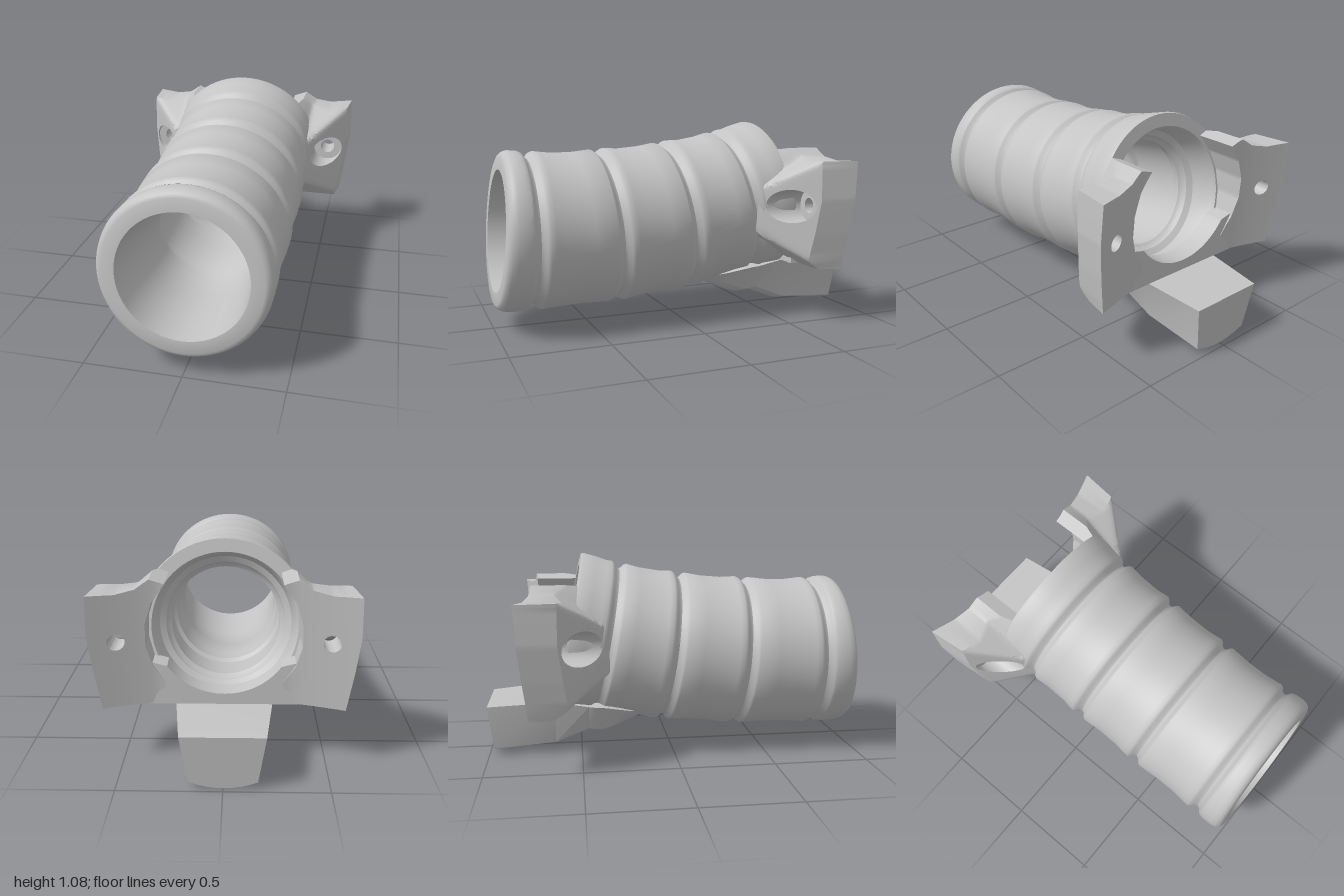
import * as THREE from 'three';
import { toCreasedNormals } from 'three/addons/utils/BufferGeometryUtils.js';

const grey = new THREE.MeshStandardMaterial({ color: 0xc4c4c4 });
grey.name = 'grey';
const rad = THREE.MathUtils.degToRad;

// Skin a list of closed loops; optionally join the last loop to the first.
function skin(rows, joinEnds, flip, crease) {
  const n = rows[0].length, m = rows.length, idx = [];
  const geo = new THREE.BufferGeometry();
  geo.setAttribute('position', new THREE.Float32BufferAttribute(rows.flat(2), 3));
  const tri = (a, b, c) => (flip ? idx.push(a, c, b) : idx.push(a, b, c));
  for (let i = 0; i < (joinEnds ? m : m - 1); i++) {
    for (let j = 0; j < n; j++) {
      const k = (i + 1) % m, l = (j + 1) % n;
      tri(i * n + j, k * n + j, k * n + l);
      tri(i * n + j, k * n + l, i * n + l);
    }
  }
  geo.setIndex(idx);
  return toCreasedNormals(geo, crease);
}

function part(geo, name) {
  const mesh = new THREE.Mesh(geo, grey);
  mesh.name = name;
  return mesh;
}

// Bent axis: [z, height, tilt in degrees], front to back
const axis = [
  [0.97, 0.52, -4], [0.82, 0.513, 0], [0.6, 0.512, 2.5], [0.39, 0.52, 5],
  [0.2, 0.535, 6.5], [0, 0.555, 8], [-0.2, 0.588, 9.7], [-0.35, 0.615, 11], [-0.565, 0.66, 11.5],
];
function axisAt(z) {
  let i = 0;
  while (i < axis.length - 2 && z < axis[i + 1][0]) i++;
  const a = axis[i], b = axis[i + 1], t = (z - a[0]) / (b[0] - a[0]);
  return { y: a[1] + (b[1] - a[1]) * t, tilt: rad(a[2] + (b[2] - a[2]) * t) };
}

// Ribbed tube: outer wall front to back, then bore back to front, as [z, radius, drop]
function tube() {
  const profile = [[0.97, 0.385], [0.962, 0.403], [0.945, 0.415], [0.92, 0.421], [0.87, 0.421], [0.845, 0.415]];
  const grooves = [0.81, 0.39, 0, -0.35];
  grooves.forEach((g, i) => {
    profile.push([g + 0.04, 0.417], [g + 0.028, 0.41], [g + 0.015, 0.392], [g, 0.386],
      [g - 0.015, 0.392], [g - 0.028, 0.411], [g - 0.045, 0.419], [g - 0.07, 0.416]);
    if (i < 3) {
      const mid = (g + grooves[i + 1]) / 2;
      profile.push([mid + 0.06, 0.409], [mid - 0.06, 0.409]);
    }
  });
  profile.push([-0.48, 0.425], [-0.55, 0.43], [-0.565, 0.425]);
  profile.push([-0.565, 0.36], [-0.55, 0.35], [-0.42, 0.335], [-0.4, 0.305]);
  for (const g of [-0.35, 0]) {
    profile.push([g - 0.03, 0.3], [g - 0.015, 0.28], [g + 0.015, 0.28], [g + 0.03, 0.3], [g + 0.17, 0.3]);
  }
  // The front bore is a straight taper that sits below the bent axis at its inner end
  profile.push([0.37, 0.3], [0.4, 0.28, 0.04], [0.6, 0.293, 0.02], [0.82, 0.309, 0.003], [0.97, 0.32]);
  const rows = profile.map(([z, r, drop = 0]) => {
    const { y, tilt } = axisAt(z);
    return Array.from({ length: 72 }, (_, j) => {
      const a = (j / 72) * Math.PI * 2, up = r * Math.sin(a) - drop;
      return [r * Math.cos(a), y + up * Math.cos(tilt), z + up * Math.sin(tilt)];
    });
  });
  return part(skin(rows, true, false, 0.7), 'ribbedTube');
}

// Smooth minimum keeps the wedge ridges even
const softMin = (a, b) => (a + b - Math.sqrt((a - b) ** 2 + 0.0006)) / 2;

// Mounting ear: wedge-shaped flange wrapped round a counterbored screw hole
function ear(side) {
  const hx = 0.505, hy = 0.64;
  const corners = [[0.632, 0.68], [0.63, 0.78], [0.627, 0.88], [0.5, 0.876], [0.41, 0.895], [0.345, 0.94]];
  for (let d = 43; d >= -42; d -= 17) {
    corners.push([0.375 * Math.cos(rad(d)), 0.66 + 0.375 * Math.sin(rad(d))]);
  }
  corners.push([0.33, 0.305], [0.45, 0.302], [0.582, 0.3], [0.612, 0.5]);
  const outline = [];
  corners.forEach((p, i) => {
    const q = corners[(i + 1) % corners.length];
    for (let s = 0; s < 8; s++) outline.push([p[0] + (q[0] - p[0]) * s / 8, p[1] + (q[1] - p[1]) * s / 8]);
  });
  const back = (x, y) =>
    -0.73 - 0.085 * Math.pow(Math.max(0, (x - 0.31) / 0.32), 1.3) + 0.07 * (0.88 - y);
  const front = (x, y) => {
    const slopes = softMin(-0.37 - (y - 0.74) * 1.65, -0.37 - (0.47 - y) * 1.55);
    const wedge = softMin(-0.37 - (x - 0.4) * 1.15, slopes);
    const rho = Math.hypot(x, y - 0.66);
    const web = -0.47 - Math.max(0, rho - 0.41) * 3;
    return Math.max(-softMin(-wedge, -web), back(x, y) + 0.01);
  };
  const floor = (x, y) => Math.min(-0.6, front(x, y));
  const steps = Array.from({ length: 13 }, (_, i) => i / 12);
  // Each entry: hole radius, blend towards the outline, depth rule, inset of the outer edge
  const rings = [
    [0.041, 0, back, 0], [0.041, 0, floor, 0], [0.083, 0, floor, 0],
    ...steps.map((t) => [0.088, t, front, 0.022]),
    ...steps.slice().reverse().map((t) => [0.041, t, back, 0]),
  ];
  const rows = rings.map(([r, t, depth, inset]) => outline.map(([ox, oy]) => {
    const a = Math.atan2(oy - hy, ox - hx);
    const cx = hx + r * Math.cos(a), cy = hy + r * Math.sin(a);
    const ex = ox - inset * THREE.MathUtils.smoothstep(ox, 0.5, 0.6);
    const x = cx + (ex - cx) * t, y = cy + (oy - cy) * t;
    return [x * side, y, depth(x, y)];
  }));
  return part(skin(rows, true, side < 0, 0.6), side > 0 ? 'leftEar' : 'rightEar');
}

// Saddle under the rear opening, joining the two ears
function saddle() {
  const shape = new THREE.Shape();
  shape.moveTo(-0.36, 0.3);
  shape.lineTo(0.36, 0.3);
  shape.lineTo(0.36, 0.52);
  shape.absarc(0, 0.69, 0.335, rad(-35), rad(-145), true);
  shape.lineTo(-0.36, 0.52);
  const geo = new THREE.ExtrudeGeometry(shape, { depth: 0.11, bevelEnabled: false, curveSegments: 24 });
  geo.translate(0, 0, -0.695);
  return part(toCreasedNormals(geo, 0.5), 'rearSaddle');
}

// Rear tongue: [z, top, bottom, top half width, bottom half width, sag], flaring out of the tube
function tongue() {
  const sections = [
    [-0.16, 0.22, 0.172, 0.17, 0.11, 0.025], [-0.25, 0.245, 0.14, 0.24, 0.17, 0.04],
    [-0.33, 0.27, 0.105, 0.285, 0.2, 0.05], [-0.38, 0.28, 0.09, 0.295, 0.2, 0.05],
    [-0.42, 0.28, 0.09, 0.285, 0.19, 0.045], [-0.46, 0.28, 0.1, 0.265, 0.18, 0.04],
    [-0.64, 0.305, 0.03, 0.24, 0.17, 0.035], [-0.985, 0.28, 0.002, 0.2, 0.163, 0.035],
  ];
  const rows = sections.map(([z, top, low, wt, wb, sag], i) => {
    const lean = i === sections.length - 1 ? 0.015 : 0;
    const loop = [[wt, top], [-wt, top]];
    for (let k = -4; k <= 4; k++) loop.push([wb * k / 4, low + sag * (k / 4) ** 2]);
    return loop.map(([x, y]) => [x, y, z - lean * ((y - low) / (top - low) * 2 - 1)]);
  });
  // End caps fan out from the middle of each end loop
  const cap = (row) => {
    const c = [0, 1, 2].map((k) => row.reduce((sum, p) => sum + p[k], 0) / row.length);
    return row.map(() => c);
  };
  rows.unshift(cap(rows[0]));
  rows.push(cap(rows[rows.length - 1]));
  return part(skin(rows, false, false, 0.4), 'rearTongue');
}

export function createModel() {
  const model = new THREE.Group();
  model.name = 'ribbedPipeFitting';
  model.add(tube(), ear(1), ear(-1), saddle(), tongue());
  return model;
}
